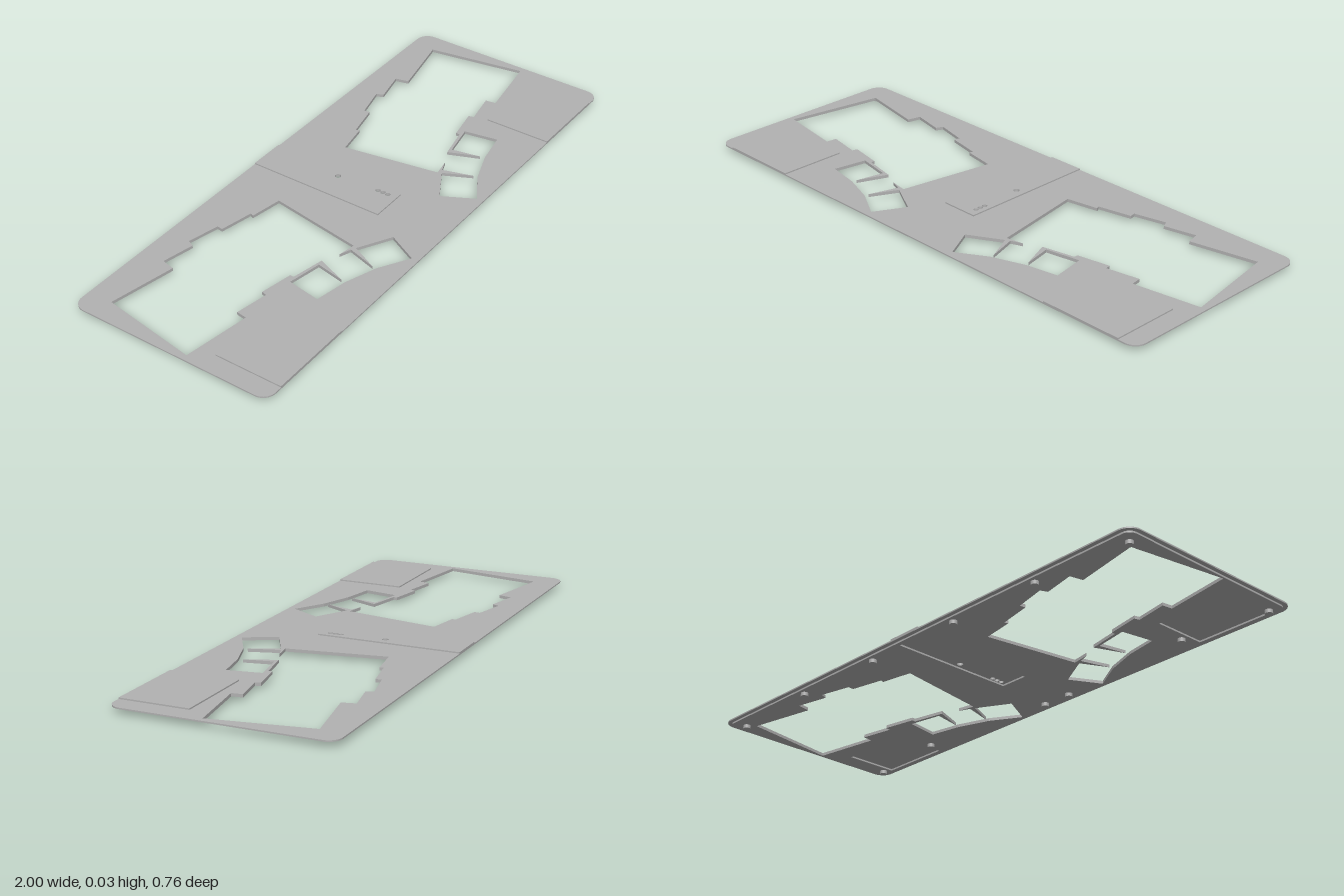
import * as THREE from 'three';

// Cutout for one half: key field joined to the three thumb openings, as [x, z]
const CUTOUT = [
  [-0.92, -0.29], [-0.679, -0.242], [-0.668, -0.29], [-0.551, -0.265], [-0.54, -0.29],
  [-0.424, -0.263], [-0.427, -0.242], [-0.305, -0.217], [-0.31, -0.204], [-0.193, -0.184],
  [-0.251, 0.164], [-0.315, 0.153], [-0.273, 0.169], [-0.305, 0.276], [-0.257, 0.178],
  [-0.139, 0.244], [-0.198, 0.356], [-0.305, 0.292], [-0.422, 0.25], [-0.54, 0.228],
  [-0.519, 0.107], [-0.396, 0.13], [-0.417, 0.233], [-0.374, 0.125], [-0.492, 0.101],
  [-0.492, 0.087], [-0.61, 0.065], [-0.615, 0.084], [-0.733, 0.062], [-0.738, 0.1],
  [-0.979, 0.062],
];
const BUTTON_HOLES = [[0.032, -0.1, 0.011], [0.041, 0.06, 0.009], [0.041, 0.08, 0.009], [0.041, 0.1, 0.009]];

const Y_BASE = 0.013, Y_PLATE = 0.019, Y_TOP = 0.0238, Y_PAD = 0.0285;

const polygon = (points, side = 1) =>
  new THREE.Shape(points.map(([x, z]) => new THREE.Vector2(x * side, z)));

const rect = (x0, x1, z0, z1) => polygon([[x0, z0], [x1, z0], [x1, z1], [x0, z1]]);

const circle = ([x, z, r]) => new THREE.Shape().absarc(x, z, r, 0, Math.PI * 2);

function roundedRect(hx, hz, r) {
  const s = new THREE.Shape();
  s.absarc(hx - r, hz - r, r, 0, Math.PI / 2);
  s.absarc(-hx + r, hz - r, r, Math.PI / 2, Math.PI);
  s.absarc(-hx + r, -hz + r, r, Math.PI, Math.PI * 1.5);
  s.absarc(hx - r, -hz + r, r, Math.PI * 1.5, Math.PI * 2);
  s.closePath();
  return s;
}

// Horizontal slab between two heights, outlined in x and z
function slab(name, shape, holes, y0, y1, material) {
  shape.holes.push(...holes);
  const g = new THREE.ExtrudeGeometry(shape, { depth: y1 - y0, bevelEnabled: false, curveSegments: 10 });
  g.rotateX(Math.PI / 2);
  g.translate(0, y1, 0);
  const mesh = new THREE.Mesh(g, material);
  mesh.name = name;
  return mesh;
}

export function createModel() {
  const model = new THREE.Group();
  model.name = 'keyboardPlate';
  const grey = new THREE.MeshStandardMaterial({ color: 0xb2b2b2 });
  grey.name = 'plateGrey';

  const cutouts = () => [polygon(CUTOUT), polygon(CUTOUT, -1)];
  const buttonHoles = () => BUTTON_HOLES.map(circle);

  // Top plate with key openings
  model.add(slab('topPlate', roundedRect(1, 0.381, 0.045),
    [...cutouts(), ...buttonHoles()], Y_PLATE, Y_TOP, grey));

  // Inset lower layer, with shallow pockets under the raised pads
  const pockets = [
    rect(-0.915, -0.64, 0.15, 0.35),
    rect(0.64, 0.915, 0.15, 0.35),
    rect(-0.055, 0.052, -0.35, 0.12),
  ];
  model.add(slab('lowerPlate', roundedRect(0.985, 0.366, 0.03),
    [...cutouts(), ...pockets], Y_BASE, Y_PLATE, grey));

  // Raised pads: electronics cover in the middle, one pad at each front corner
  model.add(slab('centreCover', rect(-0.07, 0.065, -0.381, 0.135), buttonHoles(), Y_TOP, Y_PAD, grey));
  model.add(slab('rightFrontPad', rect(-0.93, -0.625, 0.135, 0.381), [], Y_TOP, Y_PAD, grey));
  model.add(slab('leftFrontPad', rect(0.625, 0.93, 0.135, 0.381), [], Y_TOP, Y_PAD, grey));

  // Small round feet
  const footGeometry = new THREE.CylinderGeometry(0.0135, 0.0135, Y_BASE, 20);
  const feet = [[0.94, -0.318], [0.57, -0.342], [0.2, -0.342], [0.94, 0.331], [0.615, 0.287], [0.058, 0.331]];
  for (const side of [-1, 1]) {
    for (const [x, z] of feet) {
      const foot = new THREE.Mesh(footGeometry, grey);
      foot.name = 'foot';
      foot.position.set(x * side, Y_BASE / 2, z);
      model.add(foot);
    }
  }
  return model;
}
